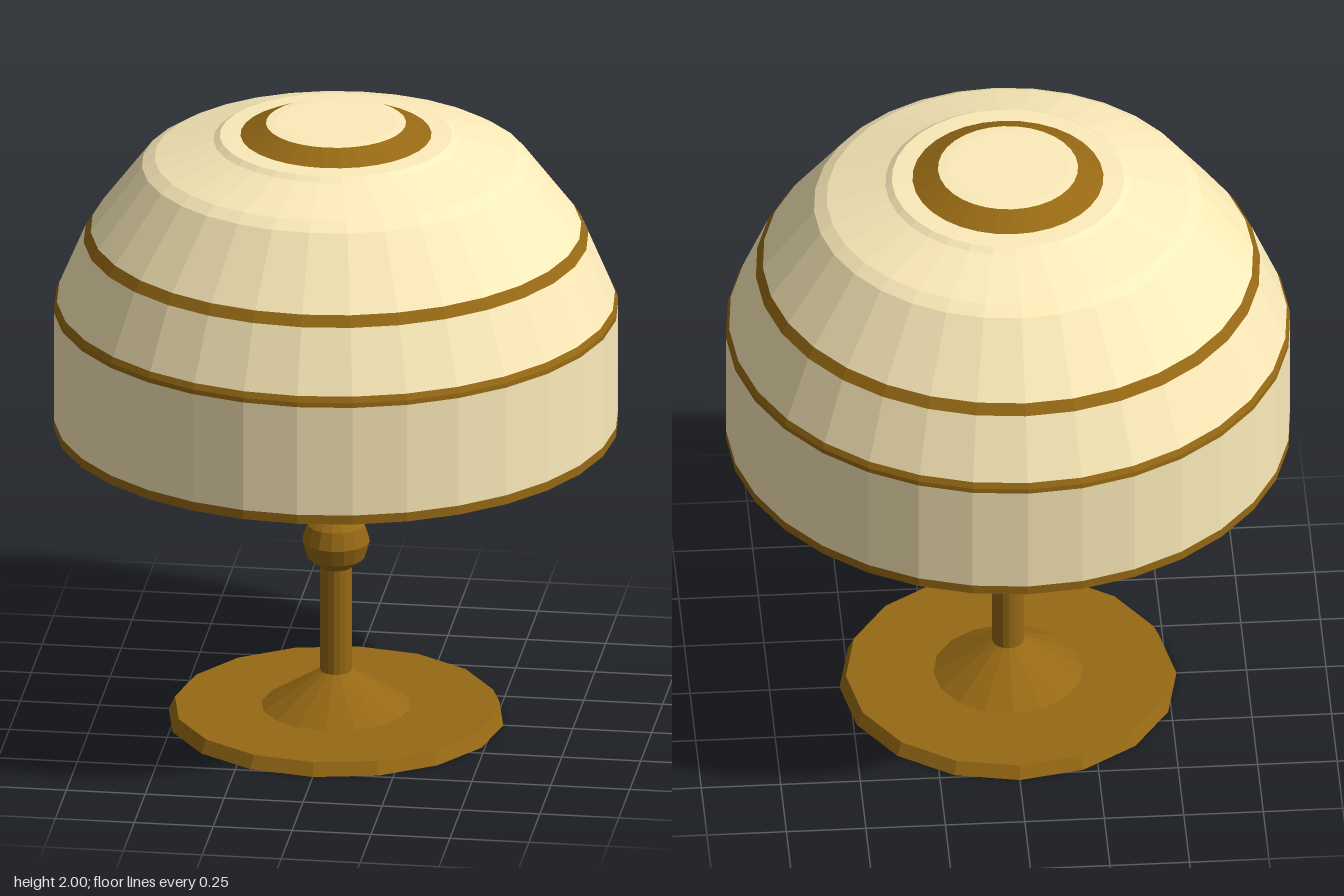
import * as THREE from 'three';

const brass = new THREE.MeshStandardMaterial({ color: 0x966914, flatShading: true });
const cream = new THREE.MeshStandardMaterial({ color: 0xfdecba, flatShading: true });
const glow = new THREE.MeshStandardMaterial({ color: 0xe6cf6c, flatShading: true });

// Turned part: [radius, height] points from bottom to top face outward
function turned(name, points, sides, material) {
  const profile = points.map(([r, y]) => new THREE.Vector2(r, y));
  const mesh = new THREE.Mesh(new THREE.LatheGeometry(profile, sides), material);
  mesh.name = name;
  return mesh;
}

export function createModel() {
  const lamp = new THREE.Group();
  lamp.name = 'tableLamp';

  // Stand
  const stand = new THREE.Group();
  stand.name = 'stand';
  stand.add(
    turned('base', [[0, 0], [0.53, 0], [0.51, 0.042], [0.235, 0.042], [0.05, 0.16]], 16, brass),
    turned('stem', [[0.05, 0.16], [0.05, 0.97]], 16, brass),
    turned('knob', [[0.05, 0.508], [0.09, 0.54], [0.107, 0.595], [0.09, 0.65], [0.05, 0.685]], 16, brass),
  );
  lamp.add(stand);

  // Socket and flared bulb inside the shade
  const light = new THREE.Group();
  light.name = 'light';
  light.add(
    turned('socket', [[0.05, 0.965], [0.1, 0.98], [0.138, 1.01], [0.138, 1.17], [0, 1.17]], 16, brass),
    turned('bulb', [[0.125, 1.17], [0.14, 1.22], [0.18, 1.29], [0.235, 1.36], [0.265, 1.44],
      [0.255, 1.52], [0.19, 1.6], [0.1, 1.64], [0, 1.65]], 16, glow),
  );
  lamp.add(light);

  // Shade: outer panels alternate with flush brass trims
  const shade = new THREE.Group();
  shade.name = 'shade';
  const layers = [
    ['rimTrim', [[0.875, 0.988], [0.887, 0.988], [0.887, 1.018]], brass],
    ['lowerPanel', [[0.887, 1.018], [0.887, 1.38]], cream],
    ['lowerTrim', [[0.887, 1.38], [0.886, 1.395], [0.877, 1.414]], brass],
    ['middlePanel', [[0.877, 1.414], [0.793, 1.613]], cream],
    ['upperTrim', [[0.793, 1.613], [0.771, 1.647]], brass],
    ['domePanel', [[0.771, 1.647], [0.61, 1.86], [0.57, 1.885], [0.385, 1.943], [0.365, 1.957], [0.3, 1.96]], cream],
    ['capRing', [[0.3, 1.96], [0.22, 1.998]], brass],
    ['capDisc', [[0.22, 1.998], [0.19, 2], [0, 2]], cream],
    // Inner skin runs from top to rim so it faces inward
    ['lining', [[0, 1.76], [0.3, 1.7], [0.77, 1.13], [0.805, 1.095], [0.875, 0.988]], cream],
  ];
  for (const [name, points, material] of layers) shade.add(turned(name, points, 32, material));
  lamp.add(shade);

  return lamp;
}
